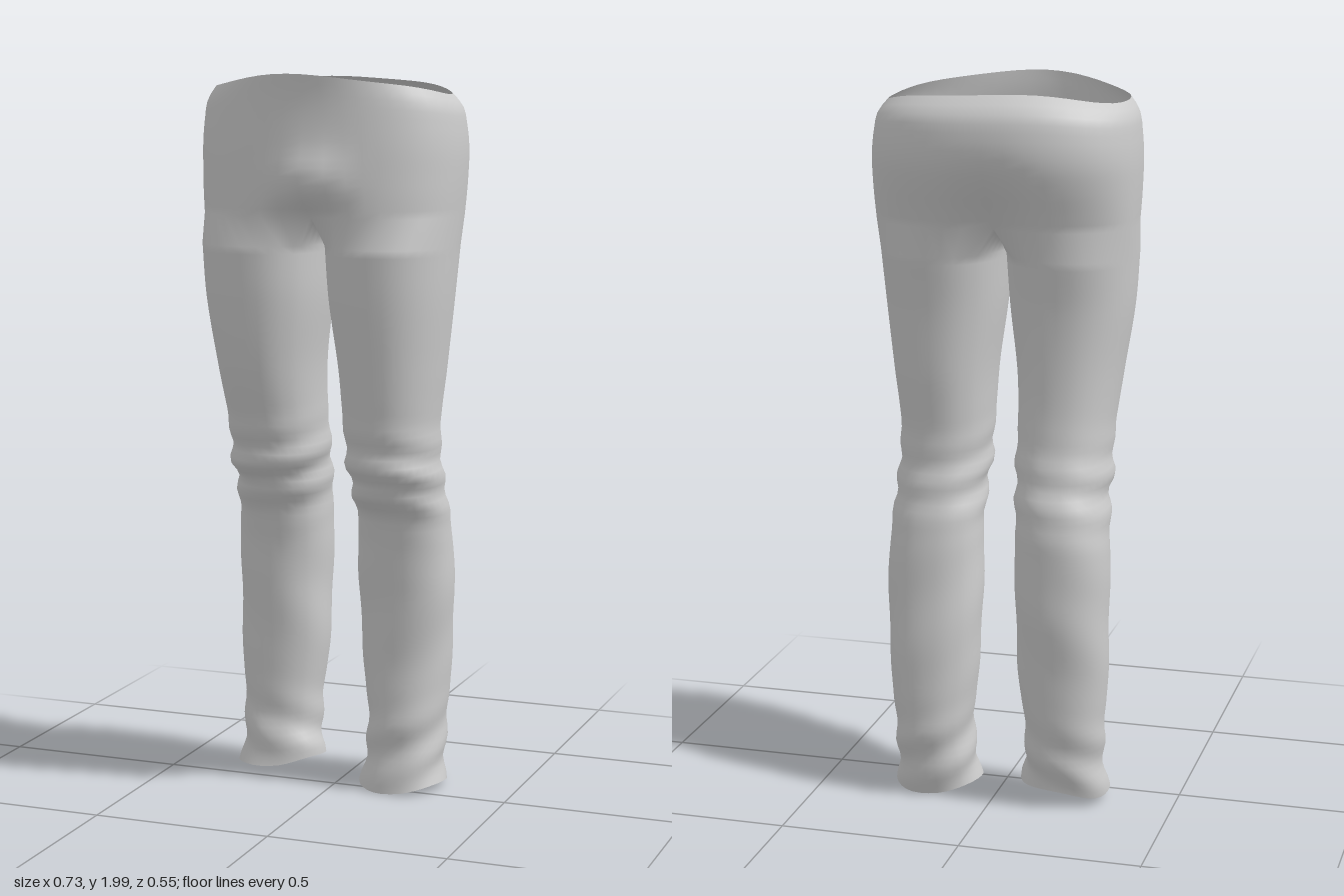
import * as THREE from 'three';

const HALF = 24;   // segments round the outer part of each leg / half of the hips
const INNER = 12;  // segments along the crotch and inner leg
const RING = HALF + INNER;
const HIP_ROWS = 16, LEG_ROWS = 72;
const HIP_BASE = 1.62, HIP_TOP = 1.965;

// y, half width, front z, back z, roundness, centre front bulge, centre back bulge
const hipRows = [
  [1.965, 0.33, 0.24, -0.215, 2.0, 0.0, 0.0],
  [1.93, 0.353, 0.235, -0.258, 2.1, 0.0, 0.0],
  [1.87, 0.363, 0.235, -0.275, 2.2, 0.0, 0.0],
  [1.8, 0.367, 0.237, -0.273, 2.3, 0.01, 0.005],
  [1.73, 0.365, 0.238, -0.25, 2.4, 0.038, 0.02],
  [1.68, 0.362, 0.238, -0.228, 2.5, 0.02, 0.035],
  [1.62, 0.357, 0.237, -0.205, 2.6, -0.055, 0.055],
];

// y, inner x, outer x, back z, front z
const leftLegRows = [
  [1.54, 0.003, 0.351, -0.187, 0.236],
  [1.4, 0.014, 0.34, -0.166, 0.226],
  [1.2, 0.04, 0.318, -0.15, 0.2],
  [1.05, 0.05, 0.302, -0.133, 0.178],
  [0.97, 0.055, 0.303, -0.133, 0.165],
  [0.88, 0.06, 0.306, -0.148, 0.14],
  [0.81, 0.06, 0.312, -0.165, 0.085],
  [0.6, 0.055, 0.318, -0.192, 0.045],
  [0.4, 0.06, 0.308, -0.212, 0.028],
  [0.2, 0.08, 0.293, -0.215, 0.036],
  [0.1, 0.075, 0.29, -0.2, 0.035],
  [0.02, 0.062, 0.3, -0.182, 0.05],
];
const rightLegRows = [
  [1.54, 0.003, 0.354, -0.187, 0.236],
  [1.4, 0.011, 0.344, -0.168, 0.226],
  [1.2, 0.036, 0.316, -0.165, 0.195],
  [1.05, 0.042, 0.3, -0.178, 0.155],
  [0.97, 0.042, 0.3, -0.196, 0.135],
  [0.88, 0.05, 0.302, -0.225, 0.095],
  [0.81, 0.055, 0.309, -0.24, 0.05],
  [0.6, 0.06, 0.315, -0.243, 0.014],
  [0.4, 0.065, 0.313, -0.225, 0.005],
  [0.2, 0.085, 0.302, -0.207, 0.003],
  [0.12, 0.08, 0.3, -0.195, 0.015],
  [0.05, 0.07, 0.31, -0.185, 0.03],
];

// Smooth lookup of a row table by height
function profile(rows) {
  const size = rows[0].length - 1;
  const spline = new THREE.CubicInterpolant(
    rows.map(r => 2 - r[0]), rows.flatMap(r => r.slice(1)), size, new Float32Array(size));
  return y => Array.from(spline.evaluate(2 - y));
}

// Rounded-box curve: signed power of sine or cosine
const soft = (v, n) => Math.sign(v) * Math.pow(Math.abs(v), 2 / n);
const bell = (v, width) => Math.exp(-((v / width) ** 2));

// Cloth folds at the knee, shin and hem, as a radial scale change
function folds(y, a, side) {
  const front = 0.5 + 0.5 * Math.sin(a);
  const knee = bell(y - 0.91, 0.1) * Math.sin(y * 62 + 1.6 * Math.cos(a + side) + side) * (0.03 + 0.06 * front);
  const shin = bell(y - 0.55, 0.25) * 0.018 * Math.sin(y * 22 + 2 * a + side);
  const hem = bell(y - 0.12, 0.11) * 0.055 * Math.sin(y * 48 + 2 * a + side * 1.5);
  return 1 + knee + shin + hem;
}

export function createModel() {
  const points = [];
  const add = (x, y, z) => points.push(x, y, z) / 3 - 1;
  const hipIndex = [], legIndex = { '1': [], '-1': [] };

  // Joins two rings of vertex numbers with quads
  function band(index, upper, lower, closed, flip) {
    const n = upper.length;
    for (let k = 0; k < (closed ? n : n - 1); k++) {
      const a = upper[k], b = upper[(k + 1) % n], c = lower[k], d = lower[(k + 1) % n];
      if (flip) index.push(a, b, c, b, d, c);
      else index.push(a, c, b, b, c, d);
    }
  }

  // Hips: rings from the wavy waist down to the crotch
  const hipAt = profile(hipRows);
  let hipRing;
  for (let r = 0; r <= HIP_ROWS; r++) {
    const y = THREE.MathUtils.lerp(HIP_TOP, HIP_BASE, r / HIP_ROWS);
    const [w, front, back, n, frontBulge, backBulge] = hipAt(y);
    const rise = ((y - HIP_BASE) / (HIP_TOP - HIP_BASE)) ** 2;
    const ring = [];
    for (let k = 0; k < 2 * HALF; k++) {
      const t = k / HALF * Math.PI;
      const c = Math.cos(t), x = w * soft(Math.sin(t), n);
      const bulge = bell(x - (frontBulge > 0 && c > 0 ? 0.015 : 0), 0.075);
      const z = c > 0
        ? front * soft(c, n) + frontBulge * bulge
        : -back * soft(c, n) + backBulge * bulge;
      const waist = 0.003 + 0.02 * Math.cos(2 * t) + 0.007 * c
        - 0.004 * Math.sin(t) + 0.003 * Math.cos(5 * t + 1);
      ring.push(add(x - 0.003 * rise, y + rise * waist, z));
    }
    if (hipRing) band(hipIndex, hipRing, ring, true, false);
    hipRing = ring;
  }

  // Crotch seam: sagging line from the back centre to the front centre
  const zBack = points[hipRing[HALF] * 3 + 2], zFront = points[hipRing[0] * 3 + 2];
  const seam = [];
  for (let j = 1; j < INNER; j++) {
    const t = j / INNER;
    seam.push(add(0, HIP_BASE - 0.055 * Math.sin(t * Math.PI), THREE.MathUtils.lerp(zBack, zFront, t)));
  }

  // Legs: closed rings from the crotch to the hem
  for (const [side, rows] of [[1, leftLegRows], [-1, rightLegRows]]) {
    const legAt = profile(rows);
    const top = rows[0][0], bottom = rows[rows.length - 1][0];
    let upper = [];
    for (let k = 0; k <= HALF; k++) upper.push(hipRing[(side * k + 2 * HALF) % (2 * HALF)]);
    upper = upper.concat(seam);
    for (let r = 0; r <= LEG_ROWS; r++) {
      const y = THREE.MathUtils.lerp(top, bottom, r / LEG_ROWS);
      const [xi, xo, zb, zf] = legAt(y);
      const ring = [];
      for (let k = 0; k < RING; k++) {
        const a = k <= HALF
          ? Math.PI * (0.75 - 1.5 * k / HALF)
          : Math.PI * (-0.75 - 0.5 * (k - HALF) / INNER);
        const f = folds(y, a, side);
        const x = (xi + xo) / 2 + (xo - xi) / 2 * soft(Math.cos(a), 2.25) * f;
        const z = (zb + zf) / 2 + (zf - zb) / 2 * soft(Math.sin(a), 2.25) * f;
        const tilt = side > 0
          ? 0.012 * Math.sin(2 * a + 1)
          : -0.017 * Math.cos(a) + 0.005 * Math.sin(3 * a);
        ring.push(add(side * x, y + tilt * bell(y - bottom, 0.08), z));
      }
      band(legIndex[side], upper, ring, true, side < 0);
      upper = ring;
    }
  }

  // Shared smooth normals keep the joins between the parts invisible
  const whole = new THREE.BufferGeometry();
  whole.setAttribute('position', new THREE.Float32BufferAttribute(points, 3));
  whole.setIndex([...hipIndex, ...legIndex[1], ...legIndex[-1]]);
  whole.computeVertexNormals();

  const cloth = new THREE.MeshStandardMaterial({ color: 0xcccccc, side: THREE.DoubleSide });
  const group = new THREE.Group();
  group.name = 'trousers';
  for (const [name, index] of [['hips', hipIndex], ['leftLeg', legIndex[1]], ['rightLeg', legIndex[-1]]]) {
    const geometry = new THREE.BufferGeometry();
    geometry.setAttribute('position', whole.getAttribute('position'));
    geometry.setAttribute('normal', whole.getAttribute('normal'));
    geometry.setIndex(index);
    const mesh = new THREE.Mesh(geometry, cloth);
    mesh.name = name;
    group.add(mesh);
  }
  return group;
}
